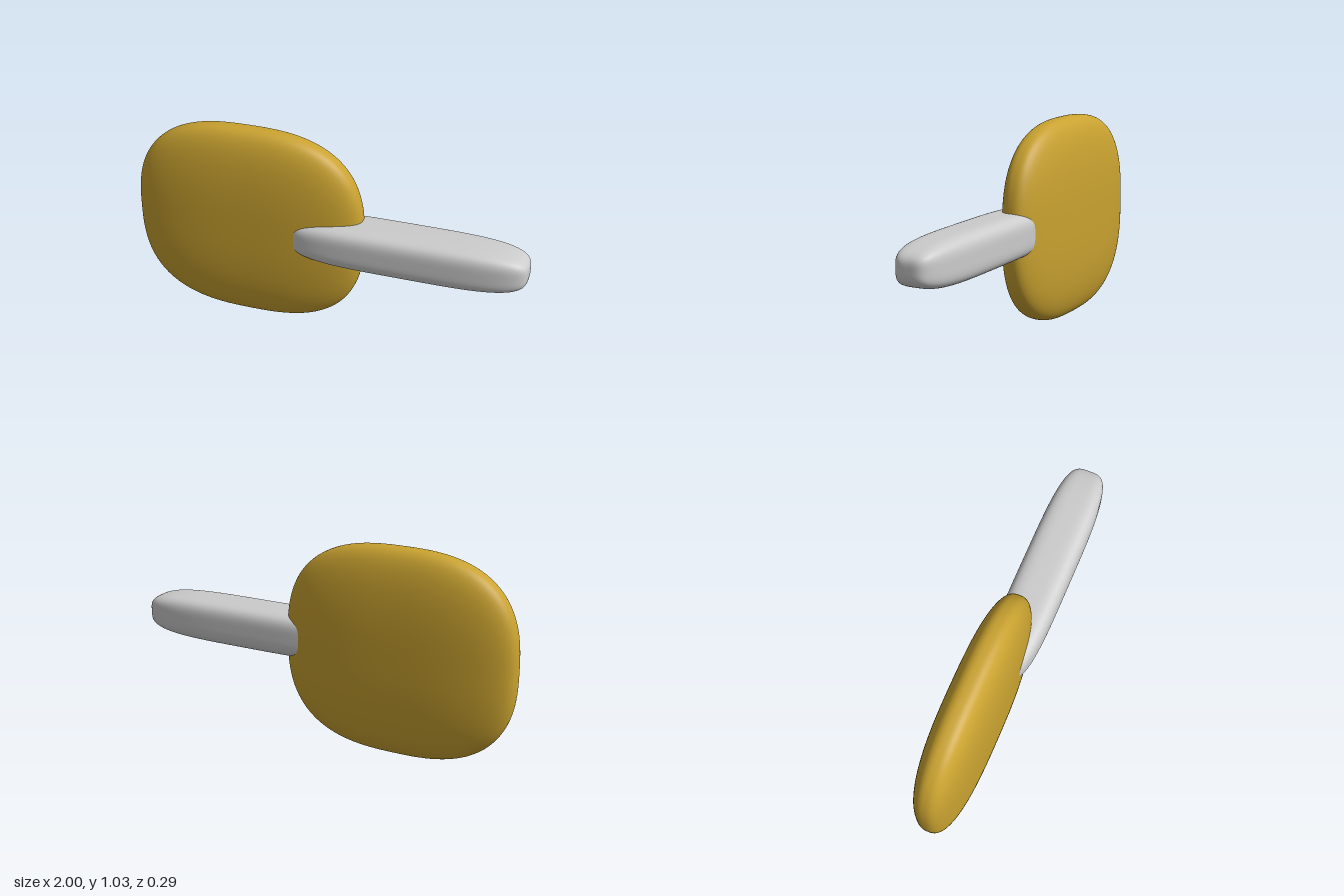
import * as THREE from 'three';

// Soft rounded block: a gridded cube pushed onto a superellipsoid.
// A higher power gives a squarer block.
function softBlock(name, size, centre, power, color) {
  const geometry = new THREE.BoxGeometry(2, 2, 2, 36, 36, 36);
  const pos = geometry.attributes.position;
  const nor = geometry.attributes.normal;
  const half = size.map((s) => s / 2);
  const n = new THREE.Vector3();
  for (let i = 0; i < pos.count; i++) {
    const p = [pos.getX(i), pos.getY(i), pos.getZ(i)];
    const length = p.reduce((sum, c) => sum + Math.abs(c) ** power, 0) ** (1 / power);
    const u = p.map((c) => c / length);
    pos.setXYZ(i, u[0] * half[0], u[1] * half[1], u[2] * half[2]);
    // Exact normal from the gradient of the surface
    n.set(...u.map((c, k) => (Math.sign(c) * Math.abs(c) ** (power - 1)) / half[k])).normalize();
    nor.setXYZ(i, n.x, n.y, n.z);
  }
  const mesh = new THREE.Mesh(geometry, new THREE.MeshStandardMaterial({ color }));
  mesh.name = name;
  mesh.position.set(...centre);
  return mesh;
}

export function createModel() {
  const group = new THREE.Group();
  group.name = 'paddle';

  // Broad flat head, set slightly to the back
  group.add(softBlock('head', [1.18, 1.035, 0.255], [-0.41, 0.52, -0.018], 2.7, 0xc9a230));

  // Squarer bar handle, set slightly to the front and sunk into the head
  group.add(softBlock('handle', [1.18, 0.22, 0.255], [0.41, 0.52, 0.018], 3.8, 0xcccccc));

  return group;
}
